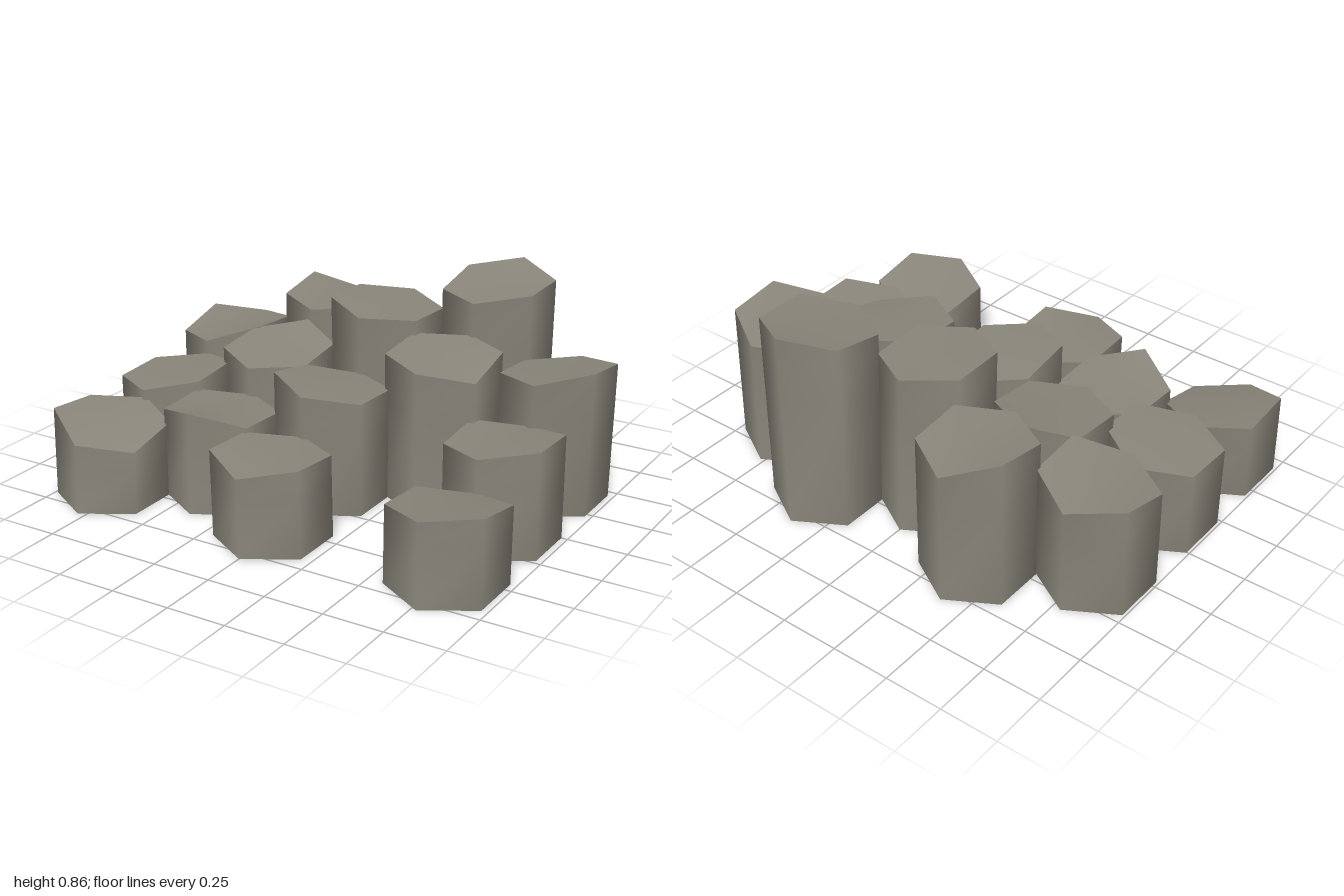
import * as THREE from 'three';

const RADIUS = 0.235;

// One entry per column: base x, base z, lean x, lean z of the top, then rim heights
// in the order front, front +x, back +x, back, back -x, front -x.
const COLUMNS = [
  [-0.39, -0.57, 0.0, 0.0, [0.61, 0.62, 0.60, 0.58, 0.66, 0.62]],
  [0.385, -0.57, 0.02, 0.02, [0.775, 0.81, 0.815, 0.855, 0.82, 0.775]],
  [-0.785, -0.34, -0.005, -0.01, [0.46, 0.53, 0.51, 0.47, 0.50, 0.44]],
  [0, -0.345, 0.0, 0.025, [0.71, 0.70, 0.69, 0.71, 0.73, 0.735]],
  [0.77, -0.345, 0.02, 0.025, [0.57, 0.62, 0.59, 0.55, 0.53, 0.55]],
  [-0.395, -0.105, -0.015, -0.005, [0.48, 0.49, 0.52, 0.56, 0.52, 0.50]],
  [0.385, -0.11, 0.0, 0.005, [0.61, 0.57, 0.63, 0.63, 0.64, 0.62]],
  [-0.785, 0.115, -0.005, -0.005, [0.38, 0.42, 0.44, 0.40, 0.38, 0.37]],
  [0, 0.115, 0.0, 0.005, [0.51, 0.48, 0.47, 0.46, 0.50, 0.54]],
  [0.77, 0.115, -0.005, -0.01, [0.41, 0.44, 0.43, 0.38, 0.41, 0.39]],
  [-0.395, 0.34, -0.005, -0.01, [0.43, 0.37, 0.36, 0.355, 0.38, 0.37]],
  [-0.785, 0.57, -0.005, -0.015, [0.29, 0.26, 0.31, 0.34, 0.35, 0.37]],
  [0, 0.565, -0.01, -0.005, [0.325, 0.36, 0.34, 0.33, 0.35, 0.36]],
  [0.77, 0.57, 0.0, -0.005, [0.345, 0.36, 0.32, 0.27, 0.30, 0.32]],
];

function makeGeometry(positions, index) {
  const geometry = new THREE.BufferGeometry();
  geometry.setAttribute('position', new THREE.Float32BufferAttribute(positions, 3));
  geometry.setIndex(index);
  geometry.computeVertexNormals();
  return geometry;
}

// Corner of a column at a fraction t of its height
function corner([x, z, leanX, leanZ, heights], i, t) {
  const a = (i * Math.PI) / 3;
  return [
    x + RADIUS * Math.sin(a) + leanX * t,
    heights[i] * t,
    z + RADIUS * Math.cos(a) + leanZ * t,
  ];
}

// Open, smooth-shaded hexagonal wall
function wallGeometry(column) {
  const positions = [], index = [];
  const rings = [0, 0.7, 1];
  for (const t of rings) for (let i = 0; i < 6; i++) positions.push(...corner(column, i, t));
  for (let r = 0; r < rings.length - 1; r++) {
    for (let i = 0; i < 6; i++) {
      const a = r * 6 + i, b = r * 6 + ((i + 1) % 6);
      index.push(a, b, b + 6, a, b + 6, a + 6);
    }
  }
  return makeGeometry(positions, index);
}

// Uneven broken top, a fan around the mean height
function topGeometry(column) {
  const [x, z, leanX, leanZ, heights] = column;
  const mean = heights.reduce((sum, h) => sum + h, 0) / 6;
  const positions = [x + leanX, mean, z + leanZ], index = [];
  for (let i = 0; i < 6; i++) {
    positions.push(...corner(column, i, 1));
    index.push(0, i + 1, ((i + 1) % 6) + 1);
  }
  return makeGeometry(positions, index);
}

export function createModel() {
  const model = new THREE.Group();
  model.name = 'basaltColumns';
  const stone = new THREE.MeshStandardMaterial({ color: 0x8a867b, side: THREE.DoubleSide });
  stone.name = 'greyStone';

  COLUMNS.forEach((data, n) => {
    const column = new THREE.Group();
    column.name = `column${n + 1}`;
    const wall = new THREE.Mesh(wallGeometry(data), stone);
    wall.name = 'columnWall';
    const top = new THREE.Mesh(topGeometry(data), stone);
    top.name = 'columnTop';
    column.add(wall, top);
    model.add(column);
  });
  return model;
}
